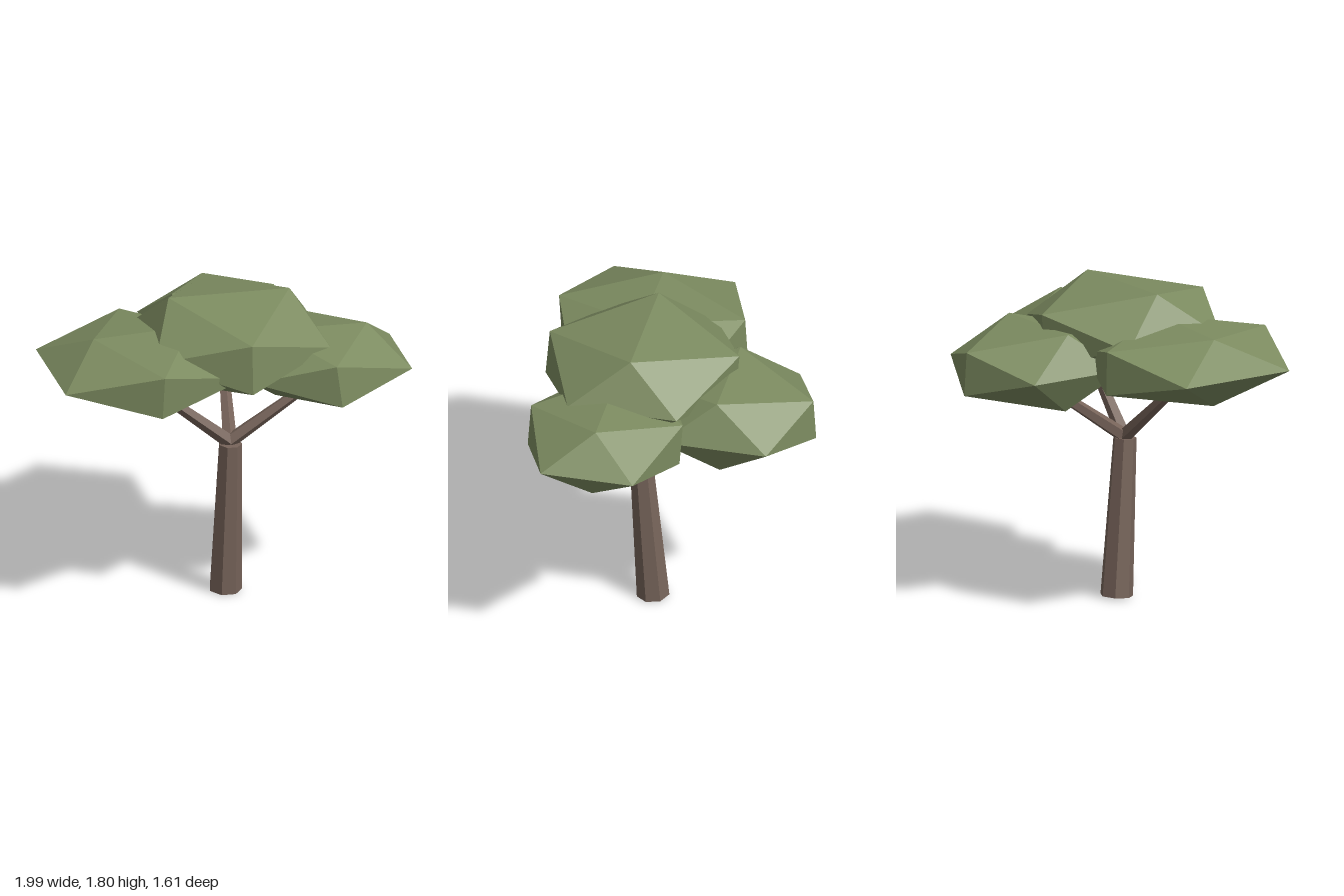
import * as THREE from 'three';

const bark = new THREE.MeshStandardMaterial({ color: 0x77645a, flatShading: true });
const leaf = new THREE.MeshStandardMaterial({ color: 0x7c8b60, flatShading: true });

// Tapered, flat-sided limb between two points
function limb(name, from, to, rFrom, rTo, sides, spin) {
  const a = new THREE.Vector3(...from), b = new THREE.Vector3(...to);
  const dir = b.clone().sub(a);
  const geo = new THREE.CylinderGeometry(rTo, rFrom, dir.length(), sides);
  geo.rotateY(spin);
  const mesh = new THREE.Mesh(geo, bark);
  mesh.name = name;
  mesh.quaternion.setFromUnitVectors(new THREE.Vector3(0, 1, 0), dir.normalize());
  mesh.position.copy(a).add(b).multiplyScalar(0.5);
  return mesh;
}

// Flattened icosahedron: its three crossed rectangles are given as half sizes.
// tip = [x, z] of the side corners, ridge = [x, y] of the top and bottom edges,
// nose = [y, z] of the front and back corners, lean = x and z shift with height
function canopy(name, center, tip, ridge, nose, lean) {
  const geo = new THREE.IcosahedronGeometry(1, 0);
  const p = geo.attributes.position;
  for (let i = 0; i < p.count; i++) {
    const [sx, sy, sz] = [p.getX(i), p.getY(i), p.getZ(i)].map((v) => (Math.abs(v) < 0.1 ? 0 : Math.sign(v)));
    let v;
    if (sy === 0) v = [sx * tip[0], 0, sz * tip[1]];
    else if (sz === 0) v = [sx * ridge[0], sy * ridge[1] + sx * lean[2], 0];
    else v = [0, sy * nose[0], sz * nose[1]];
    p.setXYZ(i, v[0] + sy * lean[0], v[1], v[2] + sy * lean[1]);
  }
  geo.computeVertexNormals();
  const mesh = new THREE.Mesh(geo, leaf);
  mesh.name = name;
  mesh.position.set(...center);
  return mesh;
}

export function createModel() {
  const tree = new THREE.Group();
  tree.name = 'tree';

  // Leaning trunk
  tree.add(limb('trunk', [0.03, 0.006, 0.142], [0.042, 0.9, 0.206], 0.093, 0.066, 7, Math.PI));

  // Three branches from the fork
  const fork = [0.04, 0.91, 0.2];
  tree.add(
    limb('rightBranch', fork, [-0.46, 1.33, 0.26], 0.042, 0.026, 5, 0),
    limb('leftBranch', fork, [0.53, 1.28, 0.29], 0.042, 0.026, 5, 0),
    limb('backBranch', fork, [0.12, 1.28, -0.31], 0.042, 0.026, 5, 0),
  );

  // Leaf clusters
  tree.add(
    canopy('topCanopy', [0.04, 1.545, 0.2], [0.5, 0.31], [0.345, 0.248], [0.14, 0.54], [0, -0.012, -0.004]),
    canopy('rightCanopy', [-0.48, 1.448, 0.26], [0.515, 0.345], [0.277, 0.188], [0.122, 0.53], [0.005, 0.006, 0.012]),
    canopy('leftCanopy', [0.54, 1.392, 0.295], [0.455, 0.262], [0.277, 0.194], [0.12, 0.432], [-0.015, -0.006, -0.005]),
    canopy('backCanopy', [0.13, 1.39, -0.32], [0.415, 0.3], [0.29, 0.218], [0.122, 0.482], [0, 0.008, 0]),
  );
  return tree;
}
